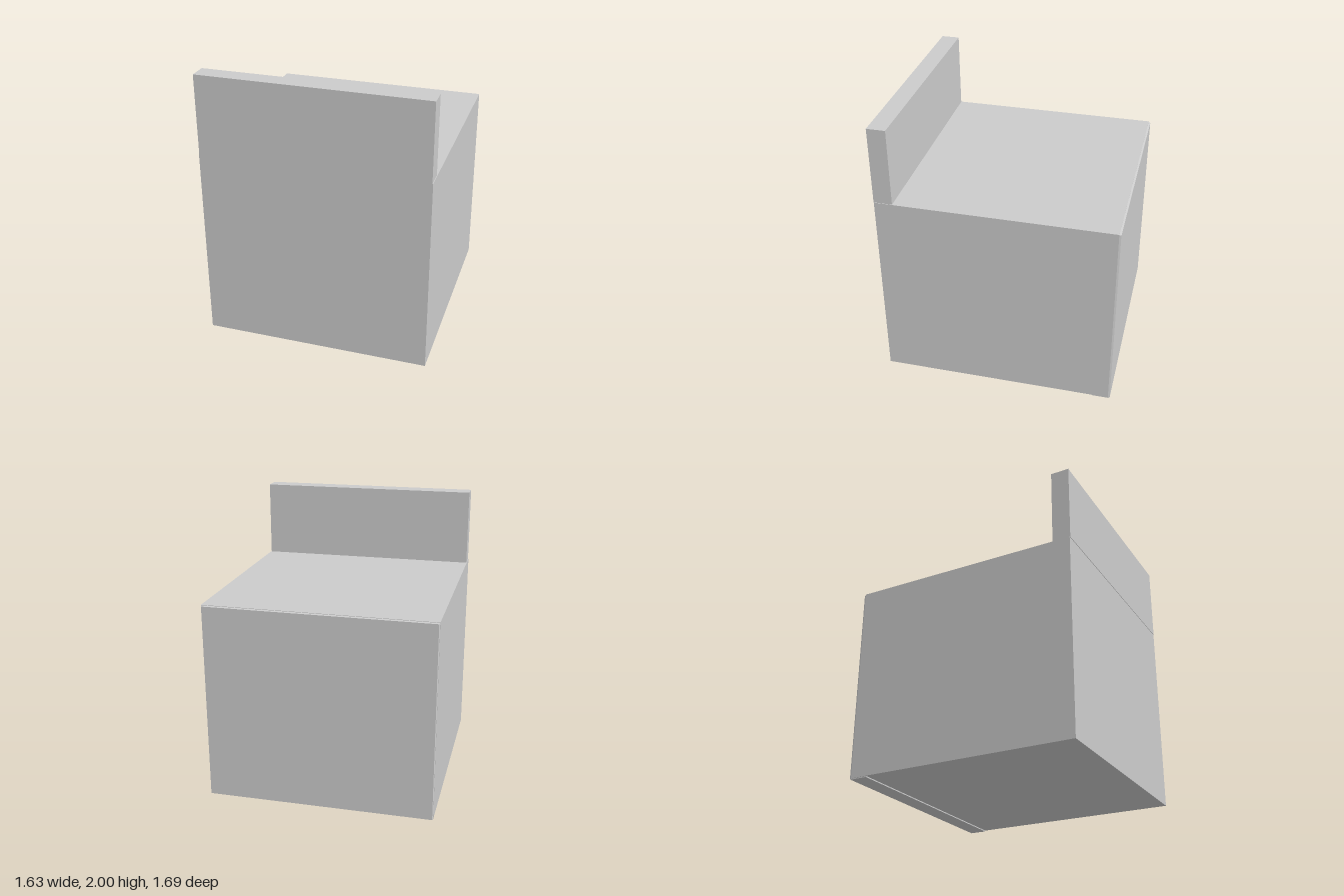
import * as THREE from 'three';

export function createModel() {
  const model = new THREE.Group();
  const material = new THREE.MeshStandardMaterial({ color: 0xcccccc, flatShading: true });

  // Box given by its low and high corners
  const addBox = (name, [x0, y0, z0], [x1, y1, z1]) => {
    const mesh = new THREE.Mesh(new THREE.BoxGeometry(x1 - x0, y1 - y0, z1 - z0), material);
    mesh.position.set((x0 + x1) / 2, (y0 + y1) / 2, (z0 + z1) / 2);
    mesh.name = name;
    model.add(mesh);
    return mesh;
  };

  // Main cabinet block
  addBox('body', [-0.817, 0.008, -0.832], [0.817, 1.44, 0.842]);

  // Upright panel standing along the front edge
  addBox('frontUpstand', [-0.813, 1.44, 0.713], [0.813, 2, 0.845]);

  // Shallow strip under the rear edge
  addBox('rearFoot', [-0.813, 0, -0.838], [0.813, 0.008, -0.71]);

  // Thin rear panel, its outer face drawn in slightly for a fine bevel
  const back = addBox('backPanel', [-0.816, 0.003, -0.845], [0.816, 1.437, -0.832]);
  const p = back.geometry.attributes.position;
  for (let i = 0; i < p.count; i++) {
    if (p.getZ(i) < 0) {
      p.setX(i, p.getX(i) - Math.sign(p.getX(i)) * 0.005);
      p.setY(i, p.getY(i) - Math.sign(p.getY(i)) * 0.005);
    }
  }
  back.geometry.computeVertexNormals();

  return model;
}
